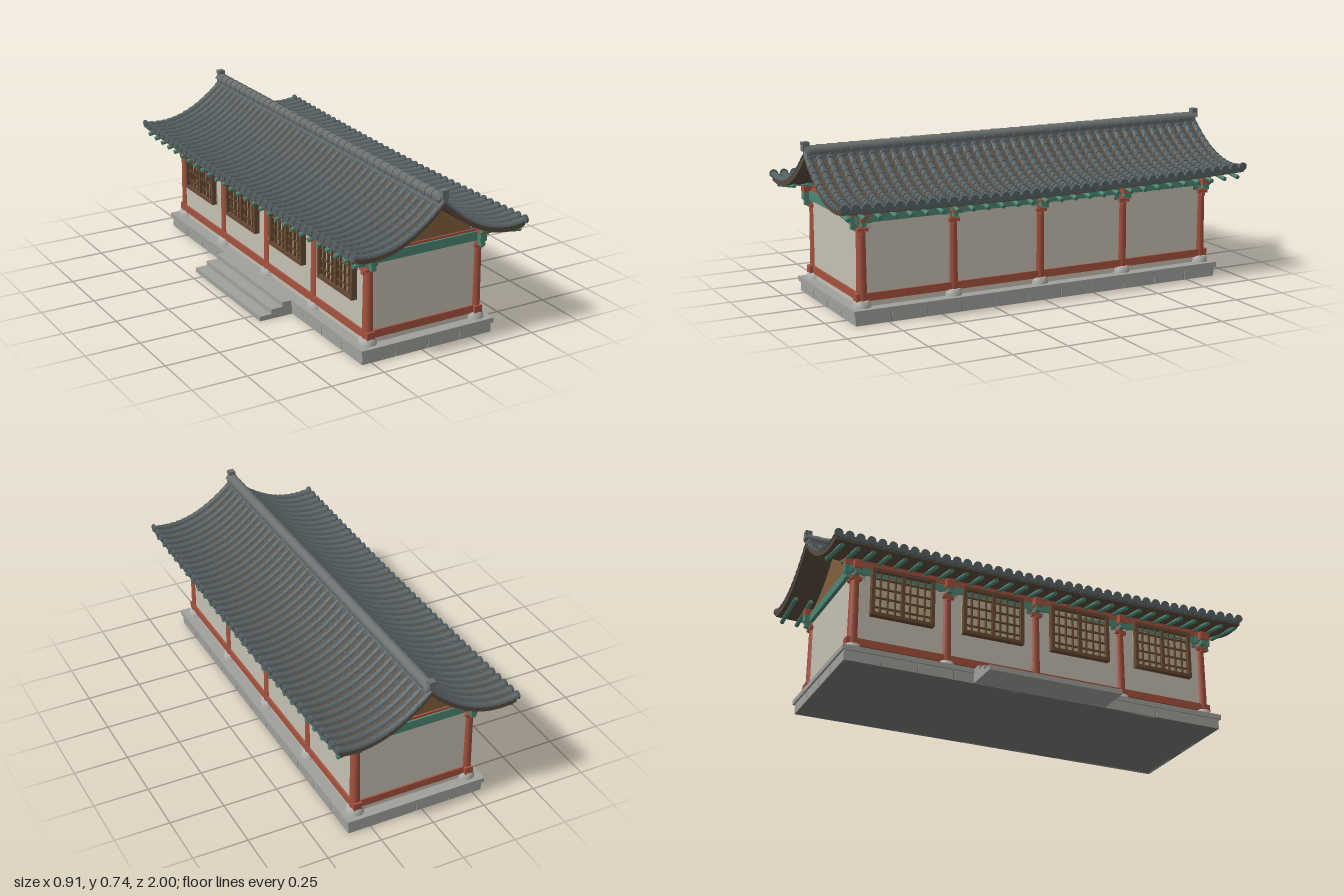
import * as THREE from 'three';
import { mergeGeometries, toCreasedNormals } from 'three/addons/utils/BufferGeometryUtils.js';

const mat = (color, side = THREE.FrontSide) => new THREE.MeshStandardMaterial({ color, side });
const M = {
  stone: mat(0xa0a09c), base: mat(0xb4b4b0), joint: mat(0x787876),
  red: mat(0xa5523f), green: mat(0x4d8672), wall: mat(0xc6c0b2), gable: mat(0x82603f),
  soffit: mat(0x5a4c3e), tile: mat(0x566164, THREE.DoubleSide), ridge: mat(0x6a7070),
  wood: mat(0x684a33), paper: mat(0xb8ac8c),
};
const CX = 0.03, HALF = 0.27, EAVE = 0.42, PITCH = 0.049;
const COLS = [-0.85, -0.425, 0, 0.425, 0.85];

// height of the roof's top line at distance d from the ridge
const top = d => 0.535 + 1.47 * (Math.abs(d) - 0.34) ** 2;
const sagAt = (d, z) => 0.018 * (1 - z * z) * (d / EAVE) ** 2;

// eaves dip towards the middle of the length
function sag(geo) {
  const p = geo.attributes.position;
  for (let i = 0; i < p.count; i++) p.setY(i, p.getY(i) - sagAt(p.getX(i), p.getZ(i)));
  return geo;
}

function add(parent, name, geo, material, x = 0, y = 0, z = 0) {
  const m = new THREE.Mesh(geo, material);
  m.name = name;
  m.position.set(x, y, z);
  parent.add(m);
  return m;
}

// box given by its min and max on each axis
const box = (parent, name, material, x0, x1, y0, y1, z0, z1) =>
  add(parent, name, new THREE.BoxGeometry(x1 - x0, y1 - y0, z1 - z0), material,
    (x0 + x1) / 2, (y0 + y1) / 2, (z0 + z1) / 2);

// surface through a list of rings of equal length
function skin(rings) {
  const n = rings[0].length, idx = [];
  for (let u = 0; u < rings.length - 1; u++)
    for (let v = 0; v < n - 1; v++) {
      const a = u * n + v, b = a + n;
      idx.push(a, b, a + 1, b, b + 1, a + 1);
    }
  const g = new THREE.BufferGeometry();
  g.setAttribute('position', new THREE.Float32BufferAttribute(rings.flat(2), 3));
  g.setIndex(idx);
  g.computeVertexNormals();
  return toCreasedNormals(g, 0.8);
}

// one row of overlapping tiles down the slope; ring(d, k) with k = 0 at upper end, 1 at lower end
function tileRow(ring, count = 14) {
  const rings = [];
  for (let i = 0; i < count; i++)
    for (const k of [0, 1]) rings.push(ring(EAVE * (i + k) / count, k));
  return skin(rings);
}

function buildPlatform(g) {
  box(g, 'platformCore', M.joint, -0.292, 0.352, 0, 0.046, -0.897, 0.897);
  box(g, 'platformCap', M.stone, -0.302, 0.362, 0.045, 0.067, -0.91, 0.91);
  // facing blocks with narrow joints
  for (const s of [-1, 1]) {
    for (let i = 0; i < 4; i++) {
      const x = -0.295 + i * 0.1625;
      box(g, 'facingBlock', M.stone, x + 0.002, x + 0.1605, 0, 0.045, s * 0.893 - 0.008, s * 0.893 + 0.008);
    }
    for (let i = 0; i < 11; i++) {
      const z = -0.9 + i * 1.8 / 11, x = CX + s * 0.317;
      box(g, 'facingBlock', M.stone, x - 0.008, x + 0.008, 0, 0.045, z + 0.002, z + 0.1616);
    }
  }
  [-0.457, -0.401, -0.345].forEach((x, i) =>
    box(g, 'step', M.stone, x, -0.296, i ? i * 0.022 : 0, (i + 1) * 0.022, -0.315, 0.315));
}

function buildColumns(g) {
  const baseGeo = new THREE.LatheGeometry(
    [[0, 0], [0.041, 0], [0.041, 0.006], [0.037, 0.022], [0.034, 0.029], [0, 0.029]]
      .map(p => new THREE.Vector2(...p)), 24);
  const shaft = new THREE.CylinderGeometry(0.02, 0.023, 0.345, 20);
  for (const z of COLS) {
    for (const s of [-1, 1]) {
      const x = CX + s * HALF;
      const c = new THREE.Group();
      c.name = 'column';
      c.position.set(x, 0, z);
      c.rotation.y = s > 0 ? 0 : Math.PI;
      g.add(c);
      add(c, 'columnBase', toCreasedNormals(baseGeo, 0.5), M.base, 0, 0.066, 0);
      add(c, 'columnShaft', shaft, M.red, 0, 0.2675, 0);
      // bracket set at the column head, pointing outwards
      box(c, 'capital', M.red, -0.025, 0.027, 0.395, 0.41, -0.025, 0.025);
      box(c, 'bracketArmLower', M.red, -0.02, 0.03, 0.382, 0.398, -0.008, 0.008);
      box(c, 'bracketArm', M.green, -0.03, 0.042, 0.418, 0.432, -0.01, 0.01);
      box(c, 'bracketCrossArm', M.green, -0.01, 0.01, 0.405, 0.432, -0.045, 0.045);
      for (const e of [-1, 1]) box(c, 'bracketBlock', M.green, -0.014, 0.014, 0.426, 0.438, e * 0.036 - 0.01, e * 0.036 + 0.01);
      box(c, 'bracketTip', M.green, 0.028, 0.044, 0.43, 0.44, -0.012, 0.012);
    }
    box(g, 'crossBeam', M.red, CX - 0.32, CX + 0.32, 0.44, 0.48, z - 0.018, z + 0.018);
  }
}

function buildWalls(g) {
  const xl = CX - HALF, xr = CX + HALF;
  for (const s of [-1, 1]) {
    const x = CX + s * HALF, z = s * 0.85;
    box(g, 'sideWall', M.wall, x - 0.01, x + 0.01, 0.066, 0.435, -0.85, 0.85);
    box(g, 'sideSill', M.red, x - 0.019, x + 0.019, 0.092, 0.126, -0.882, 0.882);
    box(g, 'sideLintel', M.green, x - 0.016, x + 0.016, 0.43, 0.463, -0.9, 0.9);
    box(g, 'purlin', M.red, x - 0.019, x + 0.019, 0.463, 0.493, -0.9, 0.9);
    box(g, 'endWall', M.wall, xl, xr, 0.066, 0.435, z - 0.01, z + 0.01);
    box(g, 'endSill', M.red, xl, xr, 0.092, 0.126, z - 0.018, z + 0.018);
    box(g, 'endLintel', M.green, CX - 0.293, CX + 0.293, 0.43, 0.47, z - 0.027, z + 0.027);
    // gable panel under the roof curve
    const shape = new THREE.Shape();
    shape.moveTo(-0.27, 0.468);
    shape.lineTo(0.27, 0.468);
    for (let i = 0; i <= 24; i++) {
      const d = 0.27 - i * 0.0225;
      shape.lineTo(d, top(d) - 0.034);
    }
    const geo = new THREE.ExtrudeGeometry(shape, { depth: 0.02, bevelEnabled: false });
    add(g, 'gablePanel', geo, M.gable, CX, 0, z - 0.01);
  }
}

// lattice window on the stepped side
function buildWindow(g, z) {
  const w = new THREE.Group();
  w.name = 'window';
  w.position.z = z;
  g.add(w);
  const x0 = -0.276, x1 = -0.248, h = 0.145, y0 = 0.24, y1 = 0.465;
  box(w, 'windowPanel', M.paper, -0.256, x1, y0, y1, -h, h);
  for (const s of [-1, 1]) {
    box(w, 'windowJamb', M.wood, x0, x1, y0, y1, s * (h - 0.008) - 0.008, s * (h - 0.008) + 0.008);
    const y = s < 0 ? y0 : y1 - 0.016;
    box(w, 'windowRail', M.wood, x0, x1, y, y + 0.016, -h, h);
  }
  box(w, 'windowMullion', M.wood, x0 + 0.003, x1, y0, y1, -0.008, 0.008);
  for (const s of [-1, 1])
    for (let i = 1; i < 4; i++) {
      const c = s * i * 0.034;
      box(w, 'latticeUpright', M.wood, -0.268, -0.255, y0, y1, c - 0.003, c + 0.003);
    }
  for (let i = 1; i < 5; i++) {
    const y = y0 + i * (y1 - y0) / 5;
    box(w, 'latticeBar', M.wood, -0.266, -0.255, y - 0.003, y + 0.003, -h, h);
  }
}

function buildRoof(g) {
  const roof = new THREE.Group();
  roof.name = 'roof';
  roof.position.x = CX;
  g.add(roof);

  // curved roof deck
  const deck = new THREE.Shape(), N = 32, W = 0.412;
  for (let i = 0; i <= N; i++) {
    const d = W - 2 * W * i / N;
    deck[i ? 'lineTo' : 'moveTo'](d, top(d) - 0.018);
  }
  for (let i = 0; i <= N; i++) {
    const d = -W + 2 * W * i / N;
    deck.lineTo(d, top(d) - 0.041);
  }
  const deckGeo = new THREE.ExtrudeGeometry(deck, { depth: 1.98, steps: 20, bevelEnabled: false });
  add(roof, 'roofDeck', sag(deckGeo.translate(0, 0, -0.99)), M.soffit);

  // cover tiles, pan tiles and eave ends
  const cover = tileRow((d, k) => Array.from({ length: 7 }, (_, j) => {
    const a = j * Math.PI / 6, r = 0.0135 + 0.0035 * k;
    return [d, top(d) - 0.018 + r * Math.sin(a), r * Math.cos(a)];
  }));
  const pan = tileRow((d, k) => Array.from({ length: 5 }, (_, j) => {
    const v = j / 2 - 1;
    return [d, top(d) - 0.016 + 0.004 * k - 0.006 * (1 - v * v), -v * PITCH / 2];
  }));
  const cap = new THREE.CylinderGeometry(0.019, 0.019, 0.01, 14).rotateZ(Math.PI / 2)
    .translate(EAVE, top(EAVE) - 0.015, 0).toNonIndexed();
  const drip = new THREE.BoxGeometry(0.008, 0.02, 0.034)
    .translate(EAVE - 0.003, top(EAVE) - 0.027, 0).toNonIndexed();
  cap.deleteAttribute('uv');
  drip.deleteAttribute('uv');
  const rowGeo = mergeGeometries([cover, cap]), panGeo = mergeGeometries([pan, drip]);
  const parts = [];
  for (let i = 0; i <= 40; i++) {
    const z = -0.98 + i * PITCH;
    for (const turn of [0, Math.PI]) {
      parts.push(sag(rowGeo.clone().rotateY(turn).translate(0, 0, z)));
      if (i < 40) parts.push(sag(panGeo.clone().rotateY(turn).translate(0, 0, z + PITCH / 2)));
    }
  }
  add(roof, 'roofTiles', mergeGeometries(parts), M.tile);

  // ridge
  box(roof, 'ridgeBase', M.ridge, -0.022, 0.022, 0.665, 0.702, -0.985, 0.985);
  const ridgeTile = new THREE.CylinderGeometry(0.027, 0.024, PITCH, 14).rotateX(Math.PI / 2);
  for (let i = 0; i < 40; i++)
    add(roof, 'ridgeTile', ridgeTile, M.ridge, 0, 0.699, -0.98 + (i + 0.5) * PITCH);
  for (const s of [-1, 1]) {
    box(roof, 'ridgeEnd', M.ridge, -0.015, 0.015, 0.7, 0.74, s * 0.985 - 0.015, s * 0.985 + 0.015);
    const foot = new THREE.CylinderGeometry(0.016, 0.03, 0.022, 4, 1).rotateY(Math.PI / 4).scale(1.3, 1, 0.6);
    add(roof, 'ridgeEndFoot', toCreasedNormals(foot, 0.5), M.ridge, 0, 0.711, s * 0.982);
  }

  // round rafters under the eaves
  const up = new THREE.Vector3(0, 1, 0);
  for (let i = 0; i < 28; i++) {
    const z = -0.96 + i * 1.92 / 27;
    for (const s of [-1, 1]) {
      const a = new THREE.Vector3(s * 0.21, top(0.21) - 0.05 - sagAt(0.21, z), z);
      const b = new THREE.Vector3(s * 0.412, top(0.412) - 0.062 - sagAt(0.412, z), z);
      const dir = b.clone().sub(a);
      const m = add(roof, 'rafter', new THREE.CylinderGeometry(0.01, 0.01, dir.length(), 10), M.green);
      m.position.copy(a).add(b).multiplyScalar(0.5);
      m.quaternion.setFromUnitVectors(up, dir.normalize());
    }
  }
}

export function createModel() {
  const g = new THREE.Group();
  g.name = 'hall';
  buildPlatform(g);
  buildColumns(g);
  buildWalls(g);
  for (let i = 0; i < 4; i++) buildWindow(g, (COLS[i] + COLS[i + 1]) / 2);
  buildRoof(g);
  return g;
}
